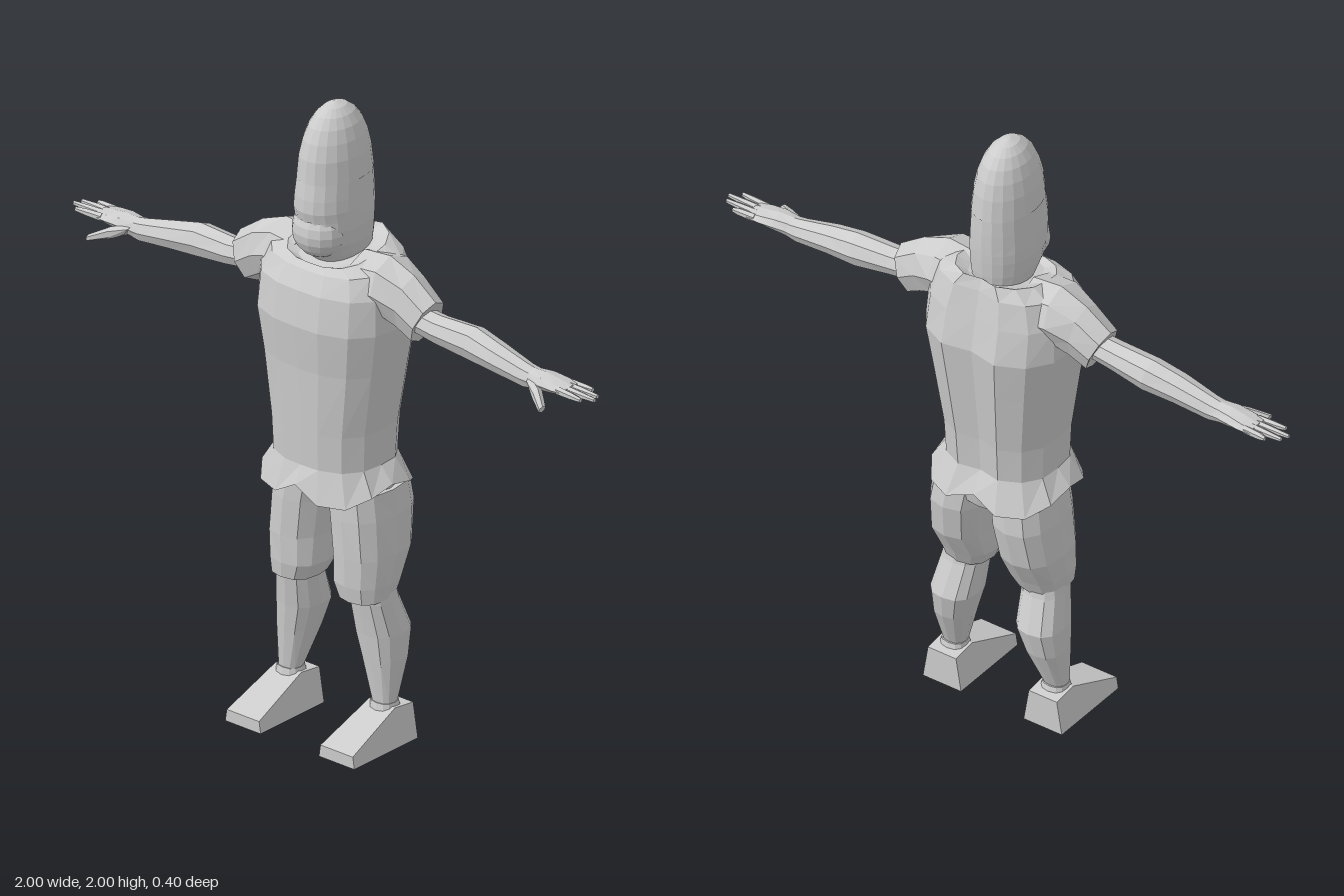
import * as THREE from 'three';

const grey = new THREE.MeshStandardMaterial({ color: 0xcccccc });
grey.name = 'plain grey';

// Skin a row of equal-length point rings, cap both ends, keep faces outward and facets flat
function loft(name, rings) {
  const tris = [];
  const n = rings[0].length;
  for (let r = 0; r < rings.length - 1; r++) {
    for (let i = 0; i < n; i++) {
      const j = (i + 1) % n;
      const a = rings[r][i], b = rings[r][j], c = rings[r + 1][j], d = rings[r + 1][i];
      tris.push([a, b, c], [a, c, d]);
    }
  }
  const middle = ring => [0, 1, 2].map(k => ring.reduce((sum, p) => sum + p[k], 0) / n);
  const first = rings[0], last = rings[rings.length - 1];
  const m0 = middle(first), m1 = middle(last);
  for (let i = 0; i < n; i++) {
    const j = (i + 1) % n;
    tris.push([m0, first[j], first[i]], [m1, last[i], last[j]]);
  }
  let volume = 0;
  for (const [a, b, c] of tris) {
    volume += a[0] * (b[1] * c[2] - b[2] * c[1]) + a[1] * (b[2] * c[0] - b[0] * c[2]) + a[2] * (b[0] * c[1] - b[1] * c[0]);
  }
  if (volume < 0) tris.forEach(t => t.reverse());
  const geometry = new THREE.BufferGeometry();
  geometry.setAttribute('position', new THREE.Float32BufferAttribute(tris.flat(2), 3));
  geometry.computeVertexNormals();
  const mesh = new THREE.Mesh(geometry, grey);
  mesh.name = name;
  return mesh;
}

// Horizontal oval ring: height, centre x, half width, front z, back z
function levelRing(y, cx, hw, zf, zb, n = 12, power = 0.8) {
  const soft = v => Math.sign(v) * Math.abs(v) ** power;
  return Array.from({ length: n }, (_, i) => {
    const a = (i / n) * Math.PI * 2;
    return [cx + hw * soft(Math.sin(a)), y, (zf + zb) / 2 + (zf - zb) / 2 * soft(Math.cos(a))];
  });
}

// Upright ring across a limb, running from a top point to a bottom point
function limbRing(s, xt, yt, xb, yb, zf, zb, n = 8) {
  return Array.from({ length: n }, (_, i) => {
    const a = (i / n) * Math.PI * 2, t = (1 - Math.cos(a)) / 2;
    return [s * (xt + (xb - xt) * t), yt + (yb - yt) * t, (zf + zb) / 2 + (zf - zb) / 2 * Math.sin(a)];
  });
}

// Half outline of the shirt from breastbone to spine: x share, z share, hem lift
const SHIRT = [[0, 1, 0.045], [0.36, 0.98, 0], [0.74, 0.8, 0], [0.96, 0.45, 0.03], [1, 0, 0.05],
  [0.97, -0.45, 0.03], [0.76, -0.8, 0], [0.4, -1, 0], [0, -0.91, 0.03]];

// Shirt ring: height, half width, front depth, back depth, forward tilt, hem zigzag
function shirtRing([y, hw, front, back, tilt = 0, lift = 0]) {
  const half = SHIRT.map(([u, v, h]) => {
    const z = v * (v > 0 ? front : back);
    return [u * hw, y - tilt * z + lift * h, z];
  });
  const mirrored = half.slice(1, -1).reverse().map(([x, y, z]) => [-x, y, z]);
  return [...half, ...mirrored];
}

function makeHead() {
  const head = new THREE.Group();
  head.name = 'head';
  // Face and skull below the cap line
  const face = [[1.5, 0.07, 0.06, -0.11], [1.54, 0.085, 0.09, -0.125], [1.58, 0.094, 0.12, -0.13],
    [1.63, 0.099, 0.132, -0.133], [1.66, 0.099, 0.134, -0.134], [1.69, 0.098, 0.141, -0.134],
    [1.73, 0.096, 0.138, -0.133], [1.785, 0.092, 0.129, -0.13]];
  head.add(loft('face', face.map(([y, hw, f, b]) => levelRing(y, 0, hw, f, b, 20, 0.95))));
  // Tall rounded cap
  const cap = [[1.78, 0.095, 0.132, -0.133], [1.85, 0.089, 0.125, -0.124], [1.9, 0.079, 0.111, -0.112],
    [1.94, 0.066, 0.092, -0.094], [1.97, 0.049, 0.068, -0.07], [1.99, 0.029, 0.04, -0.042], [2, 0.006, 0.008, -0.008]];
  head.add(loft('cap', cap.map(([y, hw, f, b]) => levelRing(y, 0, hw, f, b, 20, 1))));
  // Rounded chin
  const chin = new THREE.Mesh(new THREE.SphereGeometry(1, 14, 10).toNonIndexed(), grey);
  chin.geometry.scale(0.086, 0.085, 0.078).translate(0, 1.615, 0.068);
  chin.geometry.computeVertexNormals();
  chin.name = 'chin';
  head.add(chin);
  return head;
}

function makeArm(s, side) {
  const arm = new THREE.Group();
  arm.name = side + 'Arm';
  const limb = (name, rows, n) => arm.add(loft(name, rows.map(r => limbRing(s, ...r, n))));
  // Short sleeve with a slanted cuff
  limb('sleeve', [[0.1, 1.55, 0.14, 1.38, 0.09, -0.12], [0.2, 1.56, 0.215, 1.375, 0.085, -0.115],
    [0.29, 1.525, 0.265, 1.345, 0.06, -0.09], [0.375, 1.465, 0.31, 1.32, 0.052, -0.078],
    [0.365, 1.445, 0.315, 1.345, 0.035, -0.06]]);
  limb('bareArm', [[0.3, 1.44, 0.3, 1.36, 0.037, -0.052], [0.4, 1.433, 0.4, 1.345, 0.04, -0.055],
    [0.53, 1.435, 0.51, 1.33, 0.038, -0.067], [0.62, 1.415, 0.62, 1.325, 0.04, -0.057],
    [0.73, 1.388, 0.74, 1.312, 0.032, -0.044], [0.78, 1.378, 0.78, 1.322, 0.03, -0.042]]);
  limb('palm', [[0.755, 1.382, 0.755, 1.318, 0.03, -0.04], [0.81, 1.382, 0.81, 1.328, 0.038, -0.052],
    [0.86, 1.374, 0.86, 1.335, 0.038, -0.057], [0.9, 1.366, 0.9, 1.34, 0.032, -0.054]]);
  // Four fingers: root z, tip z, tip x
  [[0.022, 0.03, 0.97], [0, 0.003, 1], [-0.022, -0.022, 0.99], [-0.042, -0.047, 0.95]].forEach(([z0, z1, x]) => {
    limb('finger', [[0.875, 1.368, 0.875, 1.34, z0 + 0.012, z0 - 0.012],
      [0.93, 1.366, 0.93, 1.343, (z0 + z1) / 2 + 0.011, (z0 + z1) / 2 - 0.011],
      [x, 1.362, x, 1.348, z1 + 0.007, z1 - 0.007]], 6);
  });
  limb('thumb', [[0.76, 1.365, 0.785, 1.325, 0.04, -0.01], [0.82, 1.352, 0.815, 1.315, 0.07, 0.025],
    [0.872, 1.325, 0.868, 1.305, 0.102, 0.07]], 6);
  return arm;
}

function makeLeg(s, side) {
  const leg = new THREE.Group();
  leg.name = side + 'Leg';
  const limb = (name, rows) => leg.add(loft(name, rows.map(([y, cx, ...r]) => levelRing(y, s * cx, ...r))));
  // Baggy trouser leg with a turned-in hem
  limb('shortsLeg', [[0.8, 0.1, 0.096, 0.1, -0.165], [0.72, 0.112, 0.095, 0.103, -0.172],
    [0.6, 0.123, 0.093, 0.102, -0.15], [0.51, 0.122, 0.09, 0.098, -0.1],
    [0.46, 0.13, 0.074, 0.09, -0.075], [0.48, 0.134, 0.062, 0.07, -0.06]]);
  limb('calf', [[0.52, 0.136, 0.062, 0.06, -0.065], [0.45, 0.142, 0.067, 0.06, -0.08],
    [0.345, 0.153, 0.073, 0.045, -0.12], [0.26, 0.165, 0.06, 0.036, -0.1],
    [0.13, 0.18, 0.037, 0.022, -0.045], [0.06, 0.18, 0.037, 0.02, -0.045]]);
  limb('ankleCuff', [[0.13, 0.18, 0.039, 0.025, -0.05], [0.1, 0.18, 0.045, 0.032, -0.058]]);
  // Wedge shoe: z, top height, top half width
  const shoe = [[-0.08, 0.11, 0.05], [0, 0.12, 0.05], [0.2, 0.038, 0.062]].map(([z, y, w]) =>
    [[-0.068, 0], [0.068, 0], [w, y], [-w, y]].map(([x, h]) => [s * 0.18 + x, h, z]));
  leg.add(loft('shoe', shoe));
  return leg;
}

export function createModel() {
  const model = new THREE.Group();
  model.name = 'figure';
  model.add(makeHead());

  // Shirt from flared hem to collar
  model.add(loft('shirt', [[0.85, 0.165, 0.12, 0.13], [0.785, 0.22, 0.178, 0.19, 0, 1],
    [0.885, 0.177, 0.152, 0.152], [1, 0.182, 0.157, 0.16], [1.2, 0.212, 0.165, 0.185],
    [1.34, 0.235, 0.18, 0.203], [1.45, 0.23, 0.165, 0.18], [1.52, 0.2, 0.135, 0.16, 0.1],
    [1.545, 0.14, 0.115, 0.145, 0.2], [1.53, 0.095, 0.1, 0.125, 0.2]].map(shirtRing)));

  // Seat of the shorts
  model.add(loft('shortsSeat', [[0.88, 0.155, 0.1, -0.13], [0.82, 0.185, 0.1, -0.165],
    [0.76, 0.18, 0.085, -0.15], [0.73, 0.09, 0.05, -0.1]].map(([y, ...r]) => levelRing(y, 0, ...r))));

  for (const [s, side] of [[1, 'left'], [-1, 'right']]) {
    model.add(makeArm(s, side), makeLeg(s, side));
  }
  return model;
}
